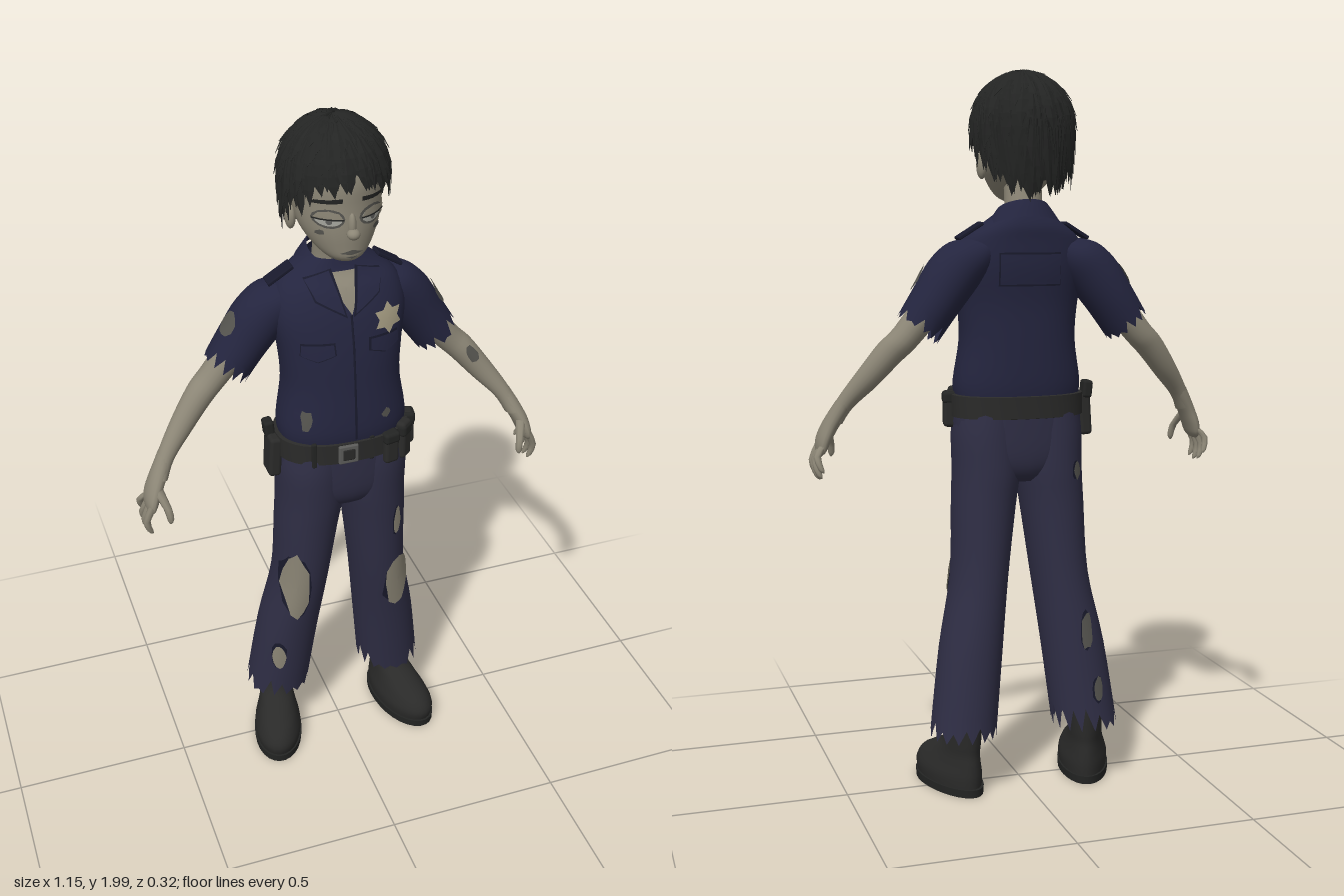
import * as THREE from 'three';
import { toCreasedNormals } from 'three/addons/utils/BufferGeometryUtils.js';
import { RoundedBoxGeometry } from 'three/addons/geometries/RoundedBoxGeometry.js';
import { ParametricGeometry } from 'three/addons/geometries/ParametricGeometry.js';

let seed = 7;
const rnd = () => (seed = (seed * 16807) % 2147483647) / 2147483647;

const mat = (name, color) => {
  const m = new THREE.MeshStandardMaterial({ color, side: THREE.DoubleSide });
  m.name = name;
  return m;
};

// A surface through elliptical sections [x, y, z, rx, rz, tilt], listed bottom to top
function surface(rows, e = 1) {
  const last = rows.length - 1;
  const value = (t, k) => {
    const i = Math.min(Math.floor(t), last - 1), f = t - i;
    const [a, b, c, d] = [-1, 0, 1, 2].map(o => rows[Math.min(last, Math.max(0, i + o))][k] ?? 0);
    return b + 0.5 * f * (c - a + f * (2 * a - 5 * b + 4 * c - d + f * (3 * (b - c) + d - a)));
  };
  const pow = (v, p) => Math.sign(v) * Math.abs(v) ** p;
  const at = (t, a, off = 0) => {
    const [x, y, z, rx, rz, tilt] = [0, 1, 2, 3, 4, 5].map(k => value(t, k));
    const u = (Math.max(rx, 0.001) + off) * pow(Math.sin(a), e);
    const w = (Math.max(rz, 0.001) + off) * pow(Math.cos(a), e);
    return new THREE.Vector3(x + u * Math.cos(tilt), y + u * Math.sin(tilt), z + w);
  };
  // point on the front (or back) at a given x and y
  const front = (x, y, off = 0, back = false) => {
    let lo = 0, hi = last;
    for (let i = 0; i < 24; i++) { const m = (lo + hi) / 2; if (value(m, 1) < y) lo = m; else hi = m; }
    const q = Math.max(-1, Math.min(1, (x - value(lo, 0)) / Math.max(value(lo, 3), 0.001)));
    const a = Math.asin(pow(q, 1 / e));
    return at(lo, back ? Math.PI - a : a, off);
  };
  return { at, front, last };
}

// Skin a surface with a grid; jag tears the lower edge, gap leaves the front open
function skinGeometry(s, { n = 28, sub = 4, jag = 0, gap = 0, fix } = {}) {
  const pos = [], idx = [], R = s.last * sub, cols = gap ? n + 1 : n;
  for (let j = 0; j <= R; j++) for (let i = 0; i < cols; i++) {
    const t = j === 0 ? (i % 2 ? jag : 0) * (0.2 + 0.8 * rnd()) : Math.max(j / sub, jag * 1.02 * (j + 3) / 4);
    const p = s.at(Math.min(t, s.last), gap + (2 * Math.PI - 2 * gap) * i / n);
    if (fix) fix(p);
    pos.push(p.x, p.y, p.z);
    if (j < R && i < n) {
      const k = (i + 1) % cols, a = j * cols + i, b = j * cols + k;
      idx.push(a, b, a + cols, b, b + cols, a + cols);
    }
  }
  const g = new THREE.BufferGeometry();
  g.setAttribute('position', new THREE.Float32BufferAttribute(pos, 3));
  g.setIndex(idx);
  g.computeVertexNormals();
  return g;
}

// A thin plate that follows a surface: outline points are mapped by place(p, q)
function patchGeometry(place, pts) {
  const c = [0, 1].map(k => pts.reduce((v, p) => v + p[k], 0) / pts.length), rim = [];
  pts.forEach((p, i) => {
    const q = pts[(i + 1) % pts.length];
    for (let f = 0; f < 4; f++) rim.push([0, 1].map(k => p[k] + (q[k] - p[k]) * f / 4));
  });
  const pos = [], idx = [], M = rim.length, S = 5;
  for (let j = 0; j <= S; j++) for (let i = 0; i < M; i++) {
    const p = place(...[0, 1].map(k => c[k] + (rim[i][k] - c[k]) * j / S));
    pos.push(p.x, p.y, p.z);
    const a = j * M + i, b = j * M + (i + 1) % M;
    if (j < S) idx.push(a, a + M, b, b, a + M, b + M);
  }
  const g = new THREE.BufferGeometry();
  g.setAttribute('position', new THREE.Float32BufferAttribute(pos, 3));
  g.setIndex(idx);
  g.computeVertexNormals();
  return g;
}

const blob = (x, y, rx, ry, n = 10, rough = 0) => Array.from({ length: n }, (_, i) => {
  const a = i / n * Math.PI * 2, r = 1 - rough * rnd();
  return [x + rx * r * Math.cos(a), y + ry * r * Math.sin(a)];
});
const rect = (x0, y0, x1, y1) => [[x0, y0], [x1, y0], [x1, y1], [x0, y1]];
const mirror = (rows, s) => rows.map(([x, y, z, a, b, t = 0]) => [s * x, y, z, a, b, s * t]);

export function createModel() {
  seed = 7;
  const root = new THREE.Group();
  root.name = 'tatteredOfficer';
  const skin = mat('skin', 0x8c8676), bruise = mat('bruise', 0x55544f), shirt = mat('shirt', 0x24253f),
    trim = mat('shirtTrim', 0x191a2c), cloth = mat('trousers', 0x2f2e45), hair = mat('hair', 0x232423),
    leather = mat('leather', 0x2a2a29), metal = mat('metal', 0x5c5c5a), tan = mat('badge', 0xa39a80),
    eye = mat('eye', 0xa3a39b);
  const add = (name, g, m) => {
    const mesh = new THREE.Mesh(g, m);
    mesh.name = name;
    root.add(mesh);
    return mesh;
  };
  const body = (name, rows, m, o = {}) => {
    const s = surface(rows, o.e);
    s.mesh = add(name, skinGeometry(s, o), m);
    return s;
  };
  const patch = (name, s, pts, m, off = 0.004, back = false) =>
    add(name, patchGeometry((x, y) => s.front(x, y, off, back), pts), m);
  const box = (name, w, h, d, x, y, z, m, ry = 0, rz = 0) => {
    const b = add(name, new RoundedBoxGeometry(w, h, d, 2, Math.min(w, h, d) * 0.3), m);
    b.position.set(x, y, z);
    b.rotation.set(0, ry, rz);
  };

  // Shirt with collar, pockets, badge and back panel
  const torso = body('shirtBody', [[0, 1.1, .02, .175, .115], [0, 1.15, .02, .178, .12], [0, 1.26, .015, .162, .115],
    [0, 1.36, .01, .168, .11], [0, 1.46, -.005, .182, .105], [0, 1.53, -.02, .165, .09],
    [0, 1.57, -.035, .12, .075], [0, 1.605, -.035, .07, .062]], shirt, { e: 0.85, n: 36 });
  patch('neckOpening', torso, [[-.055, 1.575], [.05, 1.575], [.005, 1.475]], skin);
  patch('placket', torso, rect(0, 1.12, .006, 1.475), trim);
  for (const s of [-1, 1]) {
    patch('lapel', torso, [[s * .03, 1.585], [s * .1, 1.565], [s * .085, 1.515], [s * .008, 1.47]], trim, 0.006);
    patch('lapelFace', torso, [[s * .036, 1.582], [s * .096, 1.563], [s * .08, 1.52], [s * .014, 1.48]], shirt, 0.01);
    patch('pocketEdge', torso, [[s * .045, 1.41], [s * .13, 1.41], [s * .132, 1.375], [s * .09, 1.358], [s * .043, 1.375]], trim);
    patch('pocketFlap', torso, [[s * .049, 1.407], [s * .126, 1.407], [s * .128, 1.378], [s * .09, 1.363], [s * .047, 1.378]], shirt, 0.009);
    box('epaulet', .08, .01, .045, s * .15, 1.557, -.035, trim, 0, -s * .55);
  }
  patch('badge', torso, Array.from({ length: 12 }, (_, i) => {
    const r = i % 2 ? .026 : .042, a = i * Math.PI / 6;
    return [.1 + r * Math.sin(a), 1.45 + r * Math.cos(a)];
  }), tan, 0.009);
  patch('shirtTear', torso, blob(-.125, 1.19, .02, .04, 9, .5), bruise);
  patch('shirtTear', torso, blob(.09, 1.18, .016, .016, 8, .4), bruise);
  patch('backPanelEdge', torso, rect(-.085, 1.41, .085, 1.5), trim, 0.004, true);
  patch('backPanel', torso, rect(-.08, 1.415, .08, 1.495), shirt, 0.009, true);
  body('collar', [[0, 1.59, -.035, .108, .09], [0, 1.62, -.035, .088, .078], [0, 1.645, -.035, .07, .066]], shirt,
    { gap: 0.55, sub: 2, fix: p => { p.y -= (p.z + .11) * .38; } });

  // Trousers: hips and torn legs
  body('hips', [[0, .87, .012, .07, .07], [0, .9, .015, .12, .1], [0, .96, .018, .176, .115], [0, 1.1, .02, .181, .117]],
    cloth, { e: 0.85 });
  const legRows = [[.18, .16, -.055, .092, .095], [.15, .4, -.03, .088, .1], [.118, .6, -.005, .079, .105],
    [.1, .8, .01, .088, .11], [.09, .9, .015, .094, .114], [.088, 1, .02, .096, .115], [.08, 1.07, .02, .095, .11]];
  const [rightLeg, leftLeg] = [-1, 1].map(s =>
    body('trouserLeg', mirror(legRows, s), cloth, { e: 0.95, n: 32, jag: 0.35 }));
  for (const [leg, x, y, rx, ry, back] of [[rightLeg, -.153, .61, .038, .13], [leftLeg, .15, .56, .042, .1],
    [leftLeg, .135, .8, .012, .055], [rightLeg, -.2, .33, .02, .055], [rightLeg, -.14, .9, .012, .03, true],
    [rightLeg, -.16, .45, .018, .06, true], [rightLeg, -.19, .28, .016, .04, true]]) {
    patch('tearEdge', leg, blob(x, y, rx * 1.12, ry * 1.06, 12, .2), trim, 0.002, back);
    patch('tear', leg, blob(x, y, rx, ry, 12, .25), back ? bruise : skin, 0.006, back);
  }

  // Boots, toes turned out
  for (const s of [-1, 1]) {
    const taper = p => { p.x *= 0.9 + 0.6 * Math.max(-.1, Math.min(.2, p.z)); };
    const parts = [
      body('boot', [[0, .015, .08, .07, .138], [0, .05, .083, .073, .143], [0, .085, .072, .064, .13],
        [0, .115, .045, .056, .1], [0, .15, .012, .052, .07], [0, .22, 0, .052, .062], [0, .36, 0, .054, .06]],
      leather, { fix: taper }),
      body('sole', [[0, 0, .08, .001, .001], [0, 0, .08, .075, .146], [0, .022, .08, .076, .147], [0, .022, .08, .001, .001]],
        hair, { sub: 1, fix: taper })];
    parts[1].mesh.geometry = toCreasedNormals(parts[1].mesh.geometry, 0.6);
    for (const p of parts) { p.mesh.position.set(s * .18, 0, -.068); p.mesh.rotation.y = s * .26; }
  }

  // Sleeves, arms and hands
  for (const s of [-1, 1]) {
    const sleeve = body('sleeve', mirror([[.3, 1.295, -.05, .064, .072, .65], [.25, 1.37, -.05, .068, .076, .65],
      [.2, 1.44, -.045, .073, .078, .6], [.15, 1.49, -.04, .066, .074, .6], [.1, 1.52, -.035, .04, .05, .5]], s),
    shirt, { jag: 0.55 });
    add('sleevePatch', patchGeometry((t, a) => sleeve.at(t, a, .005), blob(1.3, s * 1.35, .5, .45, 10, .35)), bruise);
    const arm = body('arm', mirror([[.512, 1.05, .03, .022, .034, .45], [.485, 1.1, .01, .024, .028, .6],
      [.43, 1.168, -.02, .033, .034, .75], [.375, 1.235, -.04, .038, .04, .75], [.33, 1.28, -.05, .039, .042, .7],
      [.24, 1.39, -.05, .046, .046, .65]], s), skin, { n: 20 });
    if (s > 0) add('armBruise', patchGeometry((t, a) => arm.at(t, a, .003), blob(2.8, .3, .4, .5, 9, .3)), bruise);
    body('palm', mirror([[.552, .955, .045, .004, .025, .2], [.548, .97, .045, .014, .044, .2], [.54, 1, .042, .02, .046, .25],
      [.522, 1.04, .033, .022, .038, .4], [.49, 1.095, .012, .023, .028, .6]], s), skin, { n: 16 });
    for (let k = 0; k < 4; k++) {
      const z = .012 + k * .022, f = -.016 + k * .03, l = k === 0 ? .02 : k === 2 ? -.006 : 0;
      body('finger', mirror([[.552, .895 + l, f, .002, .002], [.558, .905 + l, f, .008, .008],
        [.566, .94 + l, (z + f) / 2, .01, .01], [.545, .985, z, .012, .012]], s), skin, { n: 8, sub: 2 });
    }
    body('thumb', mirror([[.508, .94, .108, .002, .002], [.507, .952, .107, .009, .009],
      [.512, .985, .098, .011, .011], [.53, 1.03, .06, .015, .015]], s), skin, { n: 8, sub: 2 });
  }

  // Belt and gear
  const belt = body('belt', [[0, 1.047, .02, .17, .11], [0, 1.05, .02, .187, .123], [0, 1.11, .02, .187, .123],
    [0, 1.113, .02, .17, .11]], leather, { sub: 1, e: 0.85, n: 40 });
  belt.mesh.geometry = toCreasedNormals(belt.mesh.geometry, 0.6);
  box('buckle', .055, .055, .012, -.02, 1.08, .145, metal);
  box('bucklePlate', .036, .036, .016, -.02, 1.08, .145, leather);
  for (const x of [-.11, .05]) box('beltLoop', .014, .075, .012, x, 1.08, .138 - Math.abs(x) * .12, hair);
  box('holster', .035, .12, .07, -.195, 1.045, .02, leather, 0, -.06);
  box('holsterGrip', .028, .05, .04, -.2, 1.115, .0, hair, 0, .1);
  for (const [x, z, r, h] of [[.105, .128, .2, .095], [.152, .1, .7, .115], [.186, .045, 1.4, .1]]) {
    box('pouch', .044, h, .036, x, 1.068, z, leather, r);
    box('pouchFlap', .048, h * .35, .041, x, 1.1, z, hair, r);
  }

  // Neck, head and face
  body('neck', [[0, 1.52, -.03, .07, .06], [-.006, 1.6, -.028, .053, .054], [-.01, 1.72, 0, .052, .056]], skin);
  const head = body('head', [[-.01, 1.632, .075, .001, .001], [-.01, 1.638, .075, .03, .035], [-.01, 1.655, .066, .056, .066],
    [-.01, 1.685, .042, .083, .094], [-.01, 1.73, .016, .106, .122], [-.01, 1.79, 0, .116, .135],
    [-.01, 1.86, -.005, .118, .136], [-.01, 1.93, -.008, .09, .1], [-.01, 1.965, -.01, .01, .01]], skin);
  const ball = (name, x, y, z, a, b, c) => {
    const m = add(name, new THREE.SphereGeometry(1, 16, 12), skin);
    m.position.set(x, y, z);
    m.scale.set(a, b, c);
  };
  ball('noseBridge', -.01, 1.745, .134, .011, .034, .015);
  ball('noseTip', -.01, 1.727, .146, .017, .014, .017);
  for (const s of [-1, 1]) {
    const x = -.01 + s * .054;
    ball('ear', -.01 + s * .115, 1.73, -.005, .014, .036, .024);
    patch('eyeSocket', head, blob(x, 1.765, .036, .025, 14), bruise, 0.002);
    patch('eyeball', head, blob(x, 1.765, .03, .018, 14), eye, 0.004);
    patch('iris', head, blob(x, 1.76, .007, .008, 10), metal, 0.006);
    patch('eyelid', head, [[x - .032, 1.766], [x + .032, 1.766], [x + .022, 1.782], [x, 1.788], [x - .022, 1.782]], skin, 0.008);
    patch('lashLine', head, rect(x - .033, 1.764, x + .033, 1.768), hair, 0.009);
    patch('brow', head, [[x - s * .03, 1.808], [x + s * .035, 1.803], [x + s * .03, 1.813], [x - s * .03, 1.82]], hair, 0.005);
    patch('cheekScrape', head, blob(x + s * .018, 1.728, .014, .01, 8, .5), bruise, 0.003);
  }
  patch('mouth', head, [[-.04, 1.672], [-.01, 1.682], [.02, 1.672], [-.01, 1.668]], bruise, 0.003);
  patch('lowerLip', head, [[-.025, 1.663], [.005, 1.663], [-.01, 1.657]], bruise, 0.003);

  // Hair: a close cap under layers of pointed locks swept from the crown
  const scalp = (a, th, k) => {
    const d = Math.max(0, th - Math.PI / 2);
    const r = d ? 1 - .13 * d * d : Math.sin(th), h = d ? -d * 1.1 : Math.cos(th);
    return new THREE.Vector3(-.01 + .135 * k * r * Math.sin(a), 1.835 + .143 * k * h, -.007 + .143 * k * r * Math.cos(a));
  };
  const reach = a => 1.42 + 1.22 * (1 - Math.cos(a)) / 2;
  add('hairCap', new ParametricGeometry((u, v, t) => {
    const a = u * Math.PI * 2;
    t.copy(scalp(a, v * (reach(a) - .12), .985));
  }, 40, 14), hair);
  const tris = [], steps = 5;
  for (let i = 0; i < 260; i++) {
    const a0 = i * 2.39996, end = reach(a0) + (rnd() - .35) * .3;
    const stop = i < 110 ? end : .35 + (end - .35) * Math.sqrt(rnd());
    const start = Math.max(.03, stop - .8 - rnd() * .5), lift = .02 + rnd() * .09, skew = (rnd() - .3) * .4;
    const rings = [];
    for (let j = 0; j <= steps; j++) {
      const f = j / steps, th = start + (stop - start) * f, a = a0 + skew * f;
      const w = .021 * Math.sqrt(1 - f) * (.6 + .8 * Math.min(1, f * 2)) / Math.max(.25, Math.sin(Math.min(th, 1.57)));
      const k = 1 + lift * f * f, da = w / .14;
      rings.push([scalp(a - da, th, k - .01), scalp(a, th, k + .05 * (1 - f)), scalp(a + da, th, k - .01)]);
    }
    for (let j = 0; j < steps; j++) for (let c = 0; c < 2; c++) {
      const [p, q, r, s] = [rings[j][c], rings[j + 1][c], rings[j][c + 1], rings[j + 1][c + 1]];
      for (const v of [p, q, r, r, q, s]) tris.push(v.x, v.y, v.z);
    }
  }
  const locks = new THREE.BufferGeometry();
  locks.setAttribute('position', new THREE.Float32BufferAttribute(tris, 3));
  locks.computeVertexNormals();
  add('hairLocks', locks, hair);
  return root;
}
